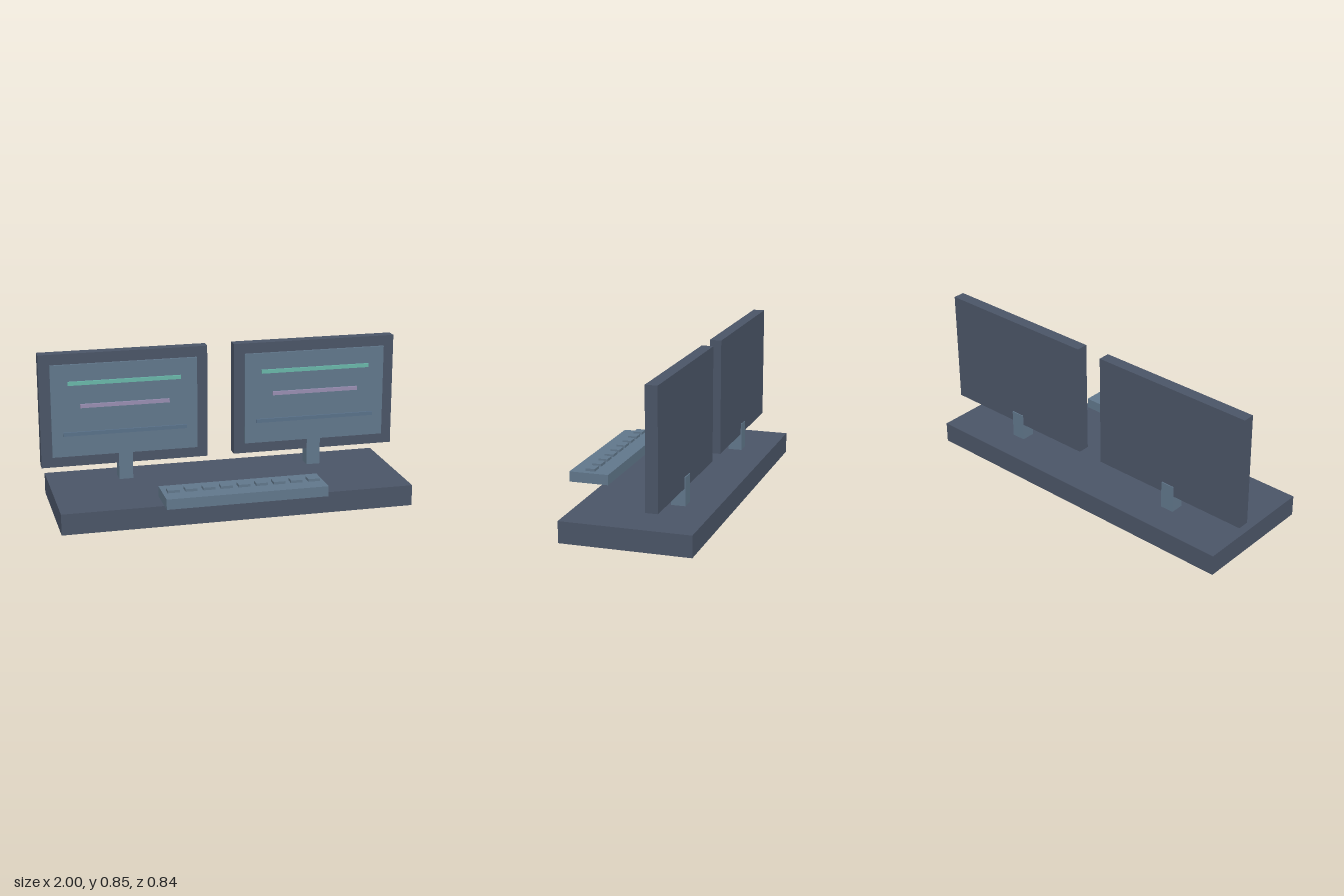
import * as THREE from 'three';

const material = (name, color) => {
  const m = new THREE.MeshStandardMaterial({ color });
  m.name = name;
  return m;
};

export function createModel() {
  const slate = material('dark slate', 0x4a5466);
  const steel = material('steel blue', 0x60768a);
  const blue = material('muted blue', 0x587088);
  const teal = material('teal', 0x68b5a8);
  const mauve = material('mauve', 0x978db0);

  // Box given by its lower and upper limits on each axis
  const box = (parent, name, mat, [x0, x1], [y0, y1], [z0, z1]) => {
    const mesh = new THREE.Mesh(new THREE.BoxGeometry(x1 - x0, y1 - y0, z1 - z0), mat);
    mesh.position.set((x0 + x1) / 2, (y0 + y1) / 2, (z0 + z1) / 2);
    mesh.name = name;
    parent.add(mesh);
  };
  const span = (width) => [-width / 2, width / 2];

  const model = new THREE.Group();
  model.name = 'workstation';

  // Desk slab
  box(model, 'desk', slate, span(1.923), [0, 0.115], [-0.42, 0.273]);

  // Two monitors, each with a stand, a raised screen and three floating bars
  for (const side of [-1, 1]) {
    const monitor = new THREE.Group();
    monitor.name = side > 0 ? 'leftMonitor' : 'rightMonitor';
    monitor.position.x = side * 0.5375;
    box(monitor, 'housing', slate, span(0.925), [0.218, 0.848], [-0.26, -0.196]);
    box(monitor, 'screen', steel, span(0.805), [0.277, 0.79], [-0.196, -0.183]);
    box(monitor, 'stand', steel, span(0.077), [0.124, 0.277], [-0.265, -0.189]);
    const bars = [['topBar', teal, 0.62, 0.688], ['middleBar', mauve, 0.49, 0.56], ['bottomBar', blue, 0.68, 0.406]];
    for (const [name, mat, width, y] of bars)
      box(monitor, name, mat, span(width), [y - 0.0105, y + 0.0105], [-0.179, -0.169]);
    model.add(monitor);
  }

  // Keyboard with a row of nine keys
  const keyboard = new THREE.Group();
  keyboard.name = 'keyboard';
  box(keyboard, 'keyboardBody', steel, span(0.87), [0.147, 0.203], [0.203, 0.42]);
  for (let i = -4; i <= 4; i++)
    box(keyboard, 'key', steel, [i * 0.095 - 0.032, i * 0.095 + 0.032], [0.207, 0.221], [0.286, 0.337]);
  model.add(keyboard);

  return model;
}
